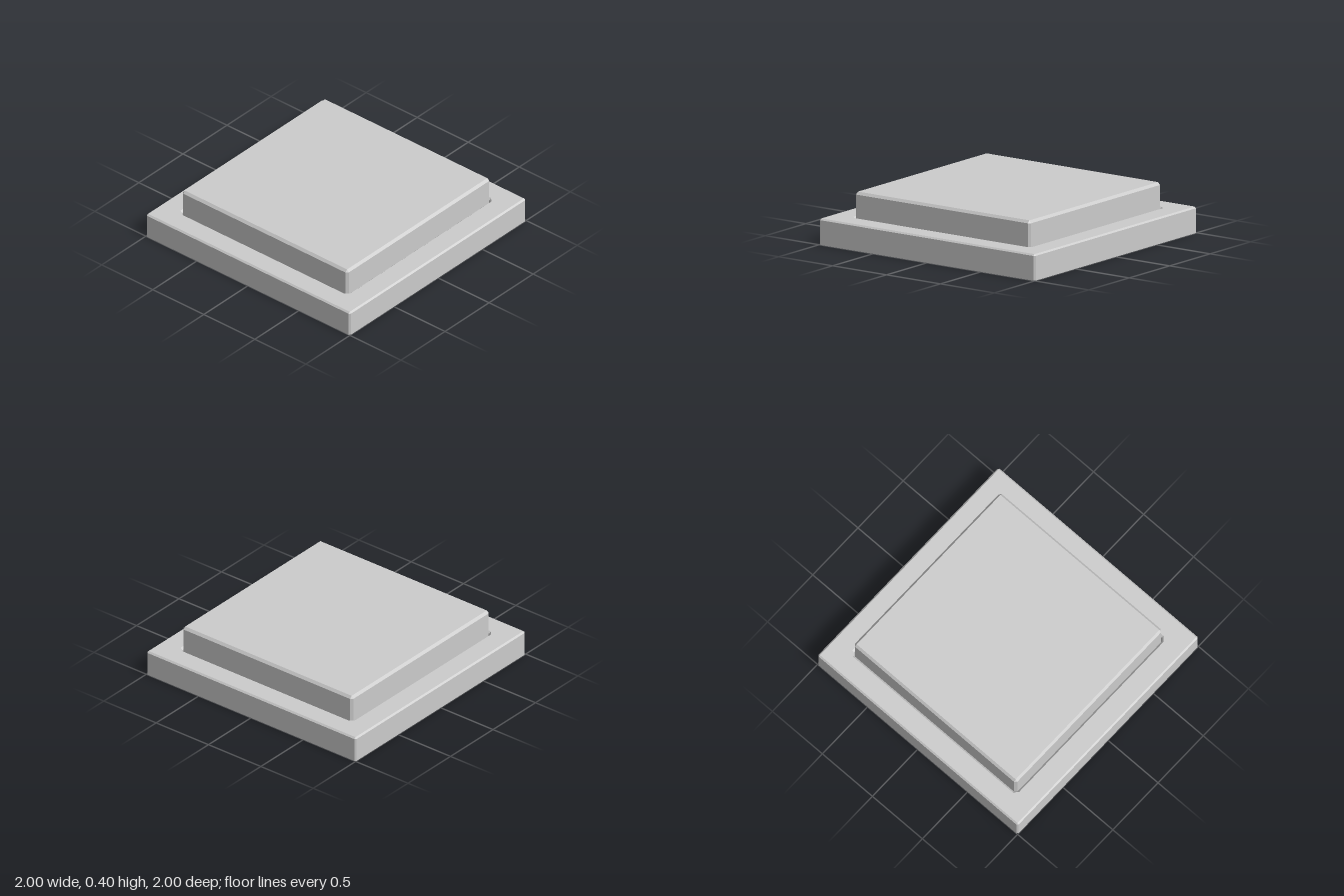
import * as THREE from 'three';

const material = new THREE.MeshStandardMaterial({
  color: 0xcccccc, flatShading: true, side: THREE.DoubleSide,
});

// Square ring with cut corners: half width, corner cut, height
function ring([half, cut, y]) {
  const k = half - cut;
  return [
    [half, -k], [half, k], [k, half], [-k, half],
    [-half, k], [-half, -k], [-k, -half], [k, -half],
  ].map(([x, z]) => [x, y, z]);
}

// Skin of flat facets through successive rings; a ring of half width 0 closes the shell
function loft(name, sections) {
  const positions = [];
  for (let s = 0; s < sections.length - 1; s++) {
    const a = ring(sections[s]), b = ring(sections[s + 1]);
    for (let i = 0; i < 8; i++) {
      const j = (i + 1) % 8;
      positions.push(...a[i], ...b[i], ...a[j]);
      if (sections[s + 1][0] > 0) positions.push(...b[i], ...b[j], ...a[j]);
    }
  }
  const geometry = new THREE.BufferGeometry();
  geometry.setAttribute('position', new THREE.Float32BufferAttribute(positions, 3));
  geometry.computeVertexNormals();
  const mesh = new THREE.Mesh(geometry, material);
  mesh.name = name;
  return mesh;
}

export function createModel() {
  const group = new THREE.Group();
  group.name = 'floorButton';

  // Frame: outer wall, bevelled rim, flat top, bevelled opening and its inner wall
  group.add(loft('frame', [
    [1, 0.012, 0], [1, 0.012, 0.188], [0.988, 0, 0.2],
    [0.833, 0.033, 0.2], [0.818, 0.018, 0.185], [0.818, 0.018, 0.08],
  ]));

  // Button cap: hollow shell with bevelled top, open underneath
  group.add(loft('buttonCap', [
    [0.812, 0.017, 0.08], [0.812, 0.017, 0.375],
    [0.795, 0, 0.395], [0, 0, 0.395],
  ]));

  return group;
}
